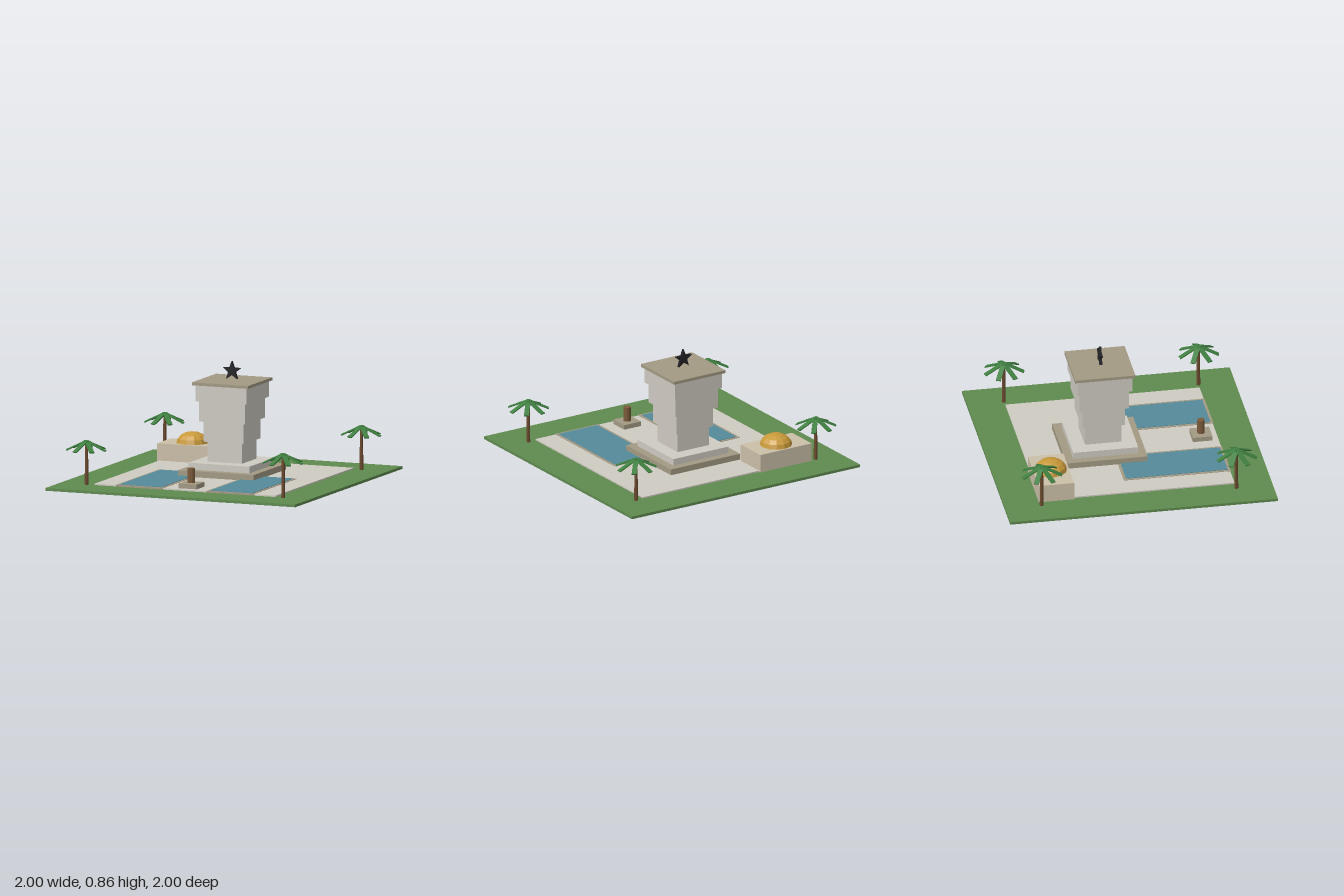
import * as THREE from 'three';

const mat = (color, side = THREE.FrontSide) =>
  new THREE.MeshStandardMaterial({ color, flatShading: true, side });

const grass = mat(0x5f8a4f), paving = mat(0xcfcbc2), tan = mat(0xa39a84);
const sand = mat(0xcbbfa8), water = mat(0x558a9a), gold = mat(0xc99a3a);
const bark = mat(0x6b4a2e), bronze = mat(0x7a5a3a), leaf = mat(0x3f8040), black = mat(0x222226);

function add(parent, name, geometry, material, x = 0, y = 0, z = 0) {
  const mesh = new THREE.Mesh(geometry, material);
  mesh.name = name;
  mesh.position.set(x, y, z);
  parent.add(mesh);
  return mesh;
}

// Box standing between heights y0 and y1
function block(parent, name, material, w, d, y0, y1, x = 0, z = 0) {
  return add(parent, name, new THREE.BoxGeometry(w, y1 - y0, d), material, x, (y0 + y1) / 2, z);
}

function starGeometry(outer, inner, depth) {
  const points = [];
  for (let i = 0; i < 10; i++) {
    const a = Math.PI / 2 + (i * Math.PI) / 5;
    const r = i % 2 ? inner : outer;
    points.push(new THREE.Vector2(Math.cos(a) * r, Math.sin(a) * r));
  }
  const geometry = new THREE.ExtrudeGeometry(new THREE.Shape(points), { depth, bevelEnabled: false });
  return geometry.translate(0, 0, -depth / 2);
}

function palmTree(x, z) {
  const palm = new THREE.Group();
  palm.name = 'palmTree';
  palm.position.set(x, 0.02, z);
  add(palm, 'trunk', new THREE.CylinderGeometry(0.011, 0.015, 0.31, 7), bark, 0, 0.155, 0);
  // Seven flat fronds drooping outwards
  const frond = new THREE.BoxGeometry(0.165, 0.008, 0.037)
    .translate(0.0825, 0, 0).rotateZ(-0.43);
  for (let i = 0; i < 7; i++) {
    add(palm, 'frond', frond, leaf, 0, 0.327, 0).rotation.y = (i * Math.PI * 2) / 7;
  }
  return palm;
}

export function createModel() {
  const model = new THREE.Group();
  model.name = 'memorialPlaza';

  // Ground
  block(model, 'lawn', grass, 2, 2, 0, 0.02);
  block(model, 'plazaPaving', paving, 1.45, 1.45, 0.02, 0.03);

  // Pools on both sides of the walkway
  for (const s of [-1, 1]) {
    block(model, 'poolRim', tan, 0.375, 0.8, 0.02, 0.033, s * 0.363, 0.33);
    block(model, 'poolWater', water, 0.335, 0.76, 0.025, 0.036, s * 0.363, 0.33);
  }

  // Stepped tower, widening towards the top
  const tower = new THREE.Group();
  tower.name = 'tower';
  tower.position.z = -0.15;
  model.add(tower);
  const tiers = [
    ['towerPlinth', tan, 0.605, 0.03, 0.075],
    ['towerStep', paving, 0.485, 0.075, 0.125],
    ['towerTier', paving, 0.273, 0.125, 0.275],
    ['towerTier', paving, 0.32, 0.275, 0.427],
    ['towerTier', paving, 0.37, 0.427, 0.58],
    ['towerTier', paving, 0.412, 0.58, 0.7],
    ['towerRoof', tan, 0.45, 0.7, 0.722],
  ];
  for (const [name, material, width, y0, y1] of tiers) block(tower, name, material, width, width, y0, y1);
  add(tower, 'star', starGeometry(0.073, 0.03, 0.022), black, 0, 0.79, 0);

  // Statue on its pedestal
  block(model, 'pedestal', tan, 0.147, 0.147, 0.03, 0.065, 0, 0.605);
  add(model, 'statue', new THREE.CylinderGeometry(0.028, 0.028, 0.108, 10), bronze, 0, 0.119, 0.605);

  // Domed side building
  block(model, 'hall', sand, 0.45, 0.265, 0.02, 0.157, -0.518, -0.608);
  const dome = new THREE.SphereGeometry(0.12, 12, 4, 0, Math.PI * 2, 0, Math.PI / 2);
  add(model, 'dome', dome, gold, -0.515, 0.157, -0.61).scale.y = 0.7;

  // Corner palms
  for (const x of [-0.787, 0.787]) {
    for (const z of [-0.727, 0.727]) model.add(palmTree(x, z));
  }

  return model;
}
